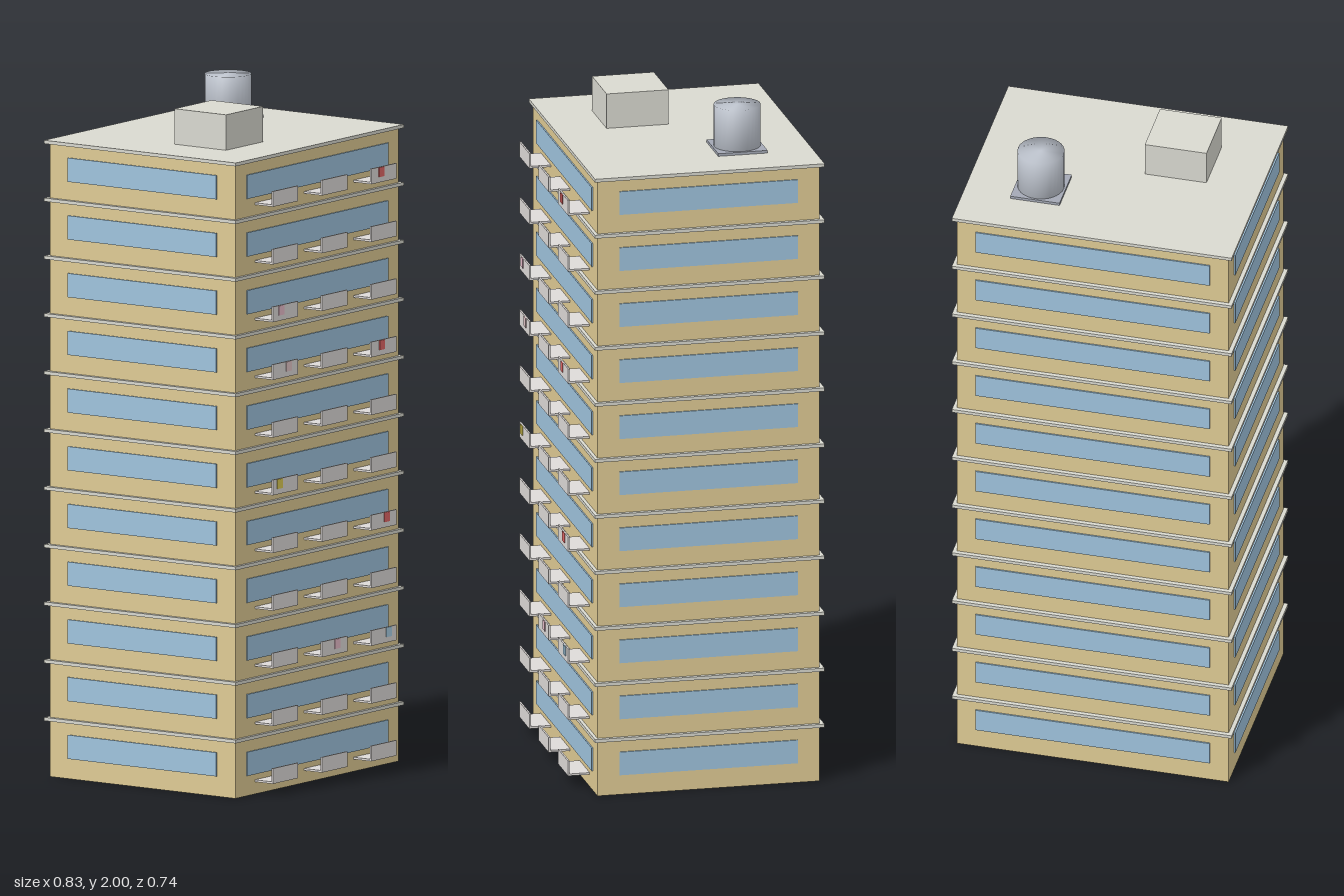
import * as THREE from 'three';
import { mergeVertices } from 'three/addons/utils/BufferGeometryUtils.js';

const FLOORS = 11, H = 0.1693, ROOF = 1.868;
const W = 0.81, D = 0.66, CZ = -0.027;

const mat = (color) => new THREE.MeshStandardMaterial({ color });
const wallMat = mat(0xdfcb94), glassMat = mat(0x9fc3dd), slabMat = mat(0xd9d9d0);
const balconyMat = mat(0xdedad8), plateMat = mat(0xa4a9b5), tankMat = mat(0xc0c6d0);

function box(parent, name, material, w, h, d, x, y, z) {
  const mesh = new THREE.Mesh(new THREE.BoxGeometry(w, h, d), material);
  mesh.name = name;
  mesh.position.set(x, y, z);
  parent.add(mesh);
  return mesh;
}

// Laundry on the railings: floor, x, colour
const LAUNDRY = [
  [10, 0.23, 0xe06666], [8, -0.267, 0xe8bccb], [7, -0.23, 0xe3c6c8], [7, 0.232, 0xe06666],
  [5, -0.275, 0xdccb55], [4, 0.256, 0xe06666], [2, 0.01, 0xe8bccb], [2, 0.265, 0xa9cfe6],
];

function makeFloor(i) {
  const floor = new THREE.Group();
  floor.name = 'floor' + (i + 1);
  floor.position.y = i * H;

  // Wall block and the slab above it
  box(floor, 'walls', wallMat, W, H, D, 0, H / 2, CZ);
  box(floor, 'slab', slabMat, 0.834, 0.01, 0.683, 0, H, CZ - 0.0015);

  // Strip windows on all four sides
  const wy = 0.094, wh = 0.07, t = 0.008;
  for (const s of [-1, 1]) {
    box(floor, 'longWindow', glassMat, 0.698, wh, t, 0, wy, CZ + s * D / 2);
    box(floor, 'sideWindow', glassMat, t, wh, 0.53, s * W / 2, wy, CZ);
  }

  // Three balconies with a floor and a front panel
  for (const x of [-0.245, -0.001, 0.243]) {
    box(floor, 'balconyFloor', balconyMat, 0.126, 0.006, 0.064, x, 0.039, 0.335);
    box(floor, 'balconyPanel', balconyMat, 0.126, 0.045, 0.005, x, 0.0585, 0.3645);
  }

  for (const [f, x, color] of LAUNDRY) {
    if (f === i) box(floor, 'laundry', mat(color), 0.026, 0.028, 0.008, x, 0.066, 0.3655);
  }
  return floor;
}

function makeTank() {
  const tank = new THREE.Group();
  tank.name = 'waterTank';
  tank.position.set(0.203, ROOF, -0.16);
  box(tank, 'tankBase', plateMat, 0.147, 0.008, 0.147, 0, 0.004, 0);
  // Shared rim vertices give the drum its soft shading
  let geo = new THREE.CylinderGeometry(0.068, 0.068, 0.124, 32);
  geo.deleteAttribute('uv');
  geo.deleteAttribute('normal');
  geo = mergeVertices(geo);
  geo.computeVertexNormals();
  const drum = new THREE.Mesh(geo, tankMat);
  drum.name = 'tankDrum';
  drum.position.y = 0.07;
  tank.add(drum);
  return tank;
}

export function createModel() {
  const model = new THREE.Group();
  model.name = 'apartmentTower';
  for (let i = 0; i < FLOORS; i++) model.add(makeFloor(i));

  // Stair hut and water tank on the roof
  box(model, 'roofHut', slabMat, 0.184, 0.104, 0.184, -0.164, ROOF + 0.052, 0.071);
  model.add(makeTank());
  return model;
}
